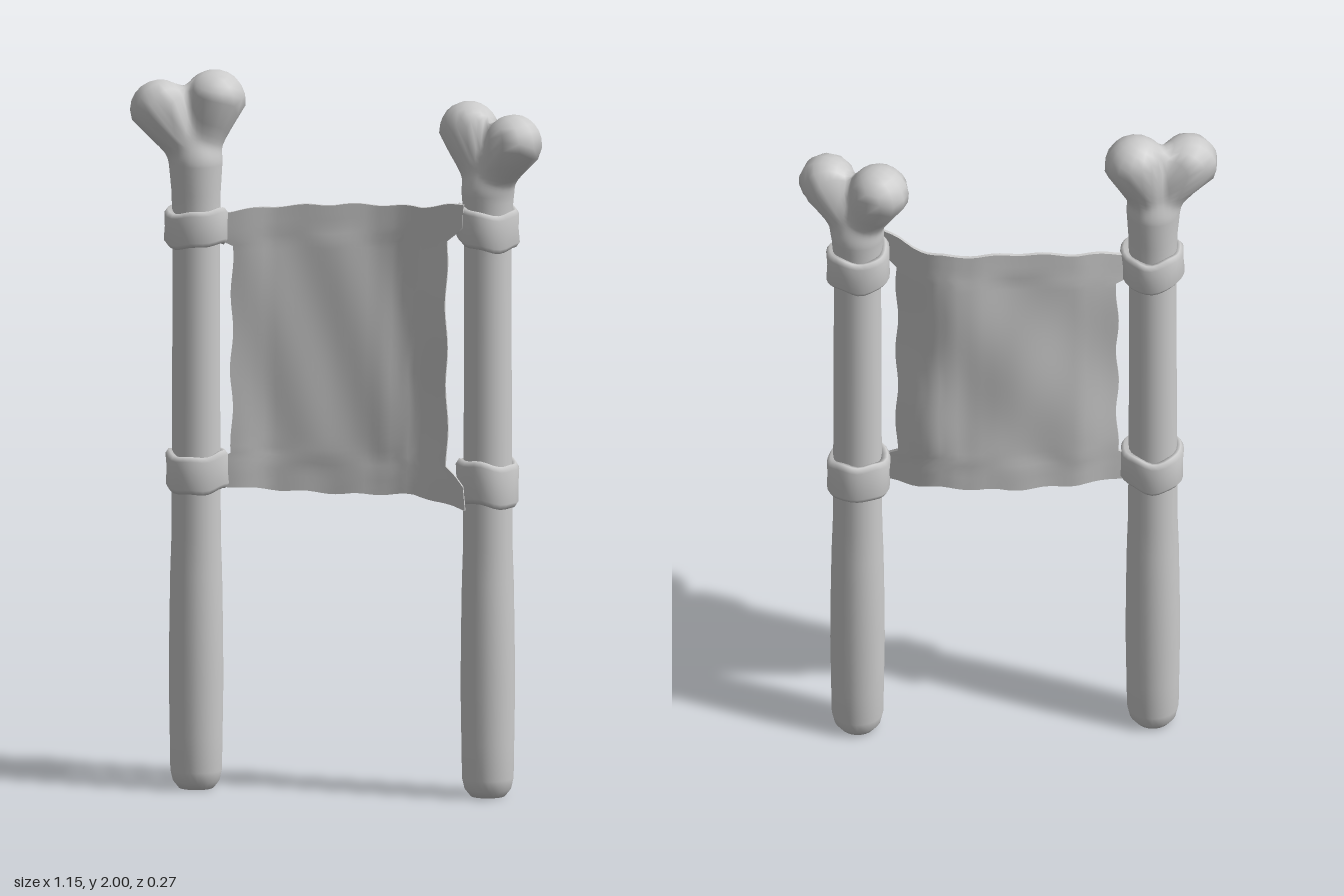
import * as THREE from 'three';
import { mergeVertices } from 'three/addons/utils/BufferGeometryUtils.js';

const material = new THREE.MeshStandardMaterial({ color: 0xcccccc });
const clothMaterial = new THREE.MeshStandardMaterial({ color: 0xcccccc, side: THREE.DoubleSide });
const { lerp, clamp, smoothstep } = THREE.MathUtils;
const V = (x, y, z) => new THREE.Vector3(x, y, z);

// Linear interpolation through [position, value] pairs
function sample(table, t) {
  let i = 0;
  while (i < table.length - 2 && t > table[i + 1][0]) i++;
  const [a, va] = table[i], [b, vb] = table[i + 1];
  return lerp(va, vb, clamp((t - a) / (b - a), 0, 1));
}

const NECK = 1.74;
const SHAFT = [[0, 0.048], [0.02, 0.064], [0.05, 0.071], [0.3, 0.075], [0.55, 0.073],
  [0.7, 0.068], [1.1, 0.066], [1.5, 0.065], [1.7, 0.068]];

// Bone: shaft and two knobs blended together, skinned by rays cast from the axis
function makeBone(name, x, z, neck, knobs) {
  const smoothMin = (a, b, k) => {
    const h = Math.max(k - Math.abs(a - b), 0) / k;
    return Math.min(a, b) - h * h * k / 4;
  };
  const base = V(x, neck, z);
  const distance = p => {
    const shaft = Math.hypot(p.x - x, p.z - z, Math.max(0, p.y - neck)) - sample(SHAFT, p.y);
    const lobes = knobs.map(({ at, r }) => {
      const axis = at.clone().sub(base);
      const h = clamp(p.clone().sub(base).dot(axis) / axis.lengthSq(), 0, 1);
      return p.distanceTo(base.clone().addScaledVector(axis, h)) - lerp(0.05, r, h * h);
    });
    return smoothMin(shaft, smoothMin(lobes[0], lobes[1], 0.035), 0.03);
  };
  const cast = (origin, dir) => {
    let lo = 0, hi = 0.4;
    for (let i = 0; i < 22; i++) {
      const mid = (lo + hi) / 2;
      if (distance(origin.clone().addScaledVector(dir, mid)) < 0) lo = mid; else hi = mid;
    }
    return origin.clone().addScaledVector(dir, lo);
  };

  // Rows: level rings up the shaft, then rays fanning up over the head
  const rows = [0, 0.02, 0.05, 0.15, 0.3, 0.45, 0.6, 0.7, 0.9, 1.1, 1.3, 1.5, 1.6, 1.66].map(y => [y, 0]);
  for (let i = 0; i <= 18; i++) rows.push([neck, i / 18 * Math.PI / 2]);
  const N = 24, pos = [], index = [];
  for (let j = 0; j < N; j++) pos.push(x, 0, z);
  for (const [y, e] of rows) {
    for (let j = 0; j < N; j++) {
      const a = j / N * Math.PI * 2;
      const dir = V(Math.cos(e) * Math.cos(a), Math.sin(e), Math.cos(e) * Math.sin(a));
      pos.push(...cast(V(x, y, z), dir).toArray());
    }
  }
  for (let i = 0; i < rows.length; i++) {
    for (let j = 0; j < N; j++) {
      const k = (j + 1) % N;
      const a = i * N + j, b = i * N + k, c = a + N, d = b + N;
      index.push(a, c, d, a, d, b);
    }
  }
  let geo = new THREE.BufferGeometry();
  geo.setAttribute('position', new THREE.Float32BufferAttribute(pos, 3));
  geo.setIndex(index);
  geo = mergeVertices(geo, 1e-5);
  geo.computeVertexNormals();
  const mesh = new THREE.Mesh(geo, material);
  mesh.name = name;
  return mesh;
}

// Leather strap wound around a bone, slightly lumpy and tilted
function makeStrap(name, x, y, z, height, tilt, phase) {
  const h = height / 2;
  const profile = [[0.06, -h * 0.9], [0.078, -h], [0.087, -h * 0.75], [0.085, 0], [0.087, h * 0.75],
    [0.078, h], [0.06, h * 0.9], [0.06, -h * 0.9]].map(([r, v]) => new THREE.Vector2(r, v));
  let geo = new THREE.LatheGeometry(profile, 28);
  geo.deleteAttribute('uv');
  geo.deleteAttribute('normal');
  geo = mergeVertices(geo, 1e-5);
  const p = geo.attributes.position;
  for (let i = 0; i < p.count; i++) {
    const px = p.getX(i), py = p.getY(i), pz = p.getZ(i);
    const a = Math.atan2(pz, px);
    const s = 1 + 0.03 * Math.sin(3 * a + phase) + 0.02 * Math.sin(5 * a + phase * 2 + py * 25);
    p.setXYZ(i, px * s, py + tilt * px + 0.006 * Math.sin(2 * a + phase) + 0.003 * Math.sin(5 * a), pz * s);
  }
  geo.computeVertexNormals();
  const mesh = new THREE.Mesh(geo, material);
  mesh.name = name;
  mesh.position.set(x, y, z);
  return mesh;
}

// Hide panel: thin sheet bowed backwards, corners drawn out to the straps
function makeHide() {
  const top = [[-0.36, 1.6], [-0.28, 1.612], [-0.15, 1.625], [0, 1.632], [0.22, 1.632], [0.3, 1.65], [0.37, 1.66]];
  const bottom = [[-0.36, 0.845], [-0.25, 0.835], [0, 0.824], [0.2, 0.83], [0.3, 0.815], [0.37, 0.805]];
  const bow = [[-0.36, 0.02], [-0.27, 0.003], [-0.2, -0.014], [0, -0.037], [0.08, -0.048], [0.15, -0.05],
    [0.2, -0.042], [0.25, -0.02], [0.3, 0.015], [0.37, 0.05]];
  const geo = new THREE.BoxGeometry(2, 1, 1, 36, 40, 1);
  const p = geo.attributes.position;
  for (let i = 0; i < p.count; i++) {
    const u = p.getX(i), v = p.getY(i) + 0.5, side = p.getZ(i);
    const corner = smoothstep(Math.abs(v - 0.5), 0.375, 0.42);
    const half = 0.303 + 0.055 * corner + 0.004 * Math.sin(v * 23 + u * 2);
    const x = u * half;
    const y = lerp(sample(bottom, x), sample(top, x), v) + 0.003 * Math.sin(x * 45) * Math.abs(2 * v - 1);
    const sag = 0.018 * (1 - v) * Math.exp(-(((x - 0.12) / 0.1) ** 2));
    const folds = 0.004 * Math.sin(14 * x - 11 * y) + 0.003 * Math.sin(27 * x + 9 * y + 1)
      + 0.005 * Math.sin(38 * x) * smoothstep(1 - v, 0.82, 1);
    p.setXYZ(i, x, y, sample(bow, x) + sag + folds * (1 - 0.6 * corner) + side * 0.01);
  }
  geo.computeVertexNormals();
  const mesh = new THREE.Mesh(geo, clothMaterial);
  mesh.name = 'hidePanel';
  return mesh;
}

export function createModel() {
  const group = new THREE.Group();
  group.name = 'boneBanner';
  group.add(
    makeBone('rightBone', -0.4, 0.028, NECK, [
      { at: V(-0.497, 1.893, 0.052), r: 0.082 },
      { at: V(-0.353, 1.914, 0.005), r: 0.086 },
    ]),
    makeBone('leftBone', 0.41, -0.022, NECK - 0.06, [
      { at: V(0.35, 1.847, -0.052), r: 0.083 },
      { at: V(0.493, 1.83, 0.02), r: 0.08 },
    ]),
    makeStrap('rightUpperStrap', -0.4, 1.567, 0.026, 0.1, 0, 0.4),
    makeStrap('rightLowerStrap', -0.4, 0.885, 0.026, 0.105, 0, 1.7),
    makeStrap('leftUpperStrap', 0.408, 1.588, -0.024, 0.105, -0.08, 2.6),
    makeStrap('leftLowerStrap', 0.408, 0.877, -0.024, 0.12, -0.06, 4.1),
    makeHide(),
  );
  return group;
}
